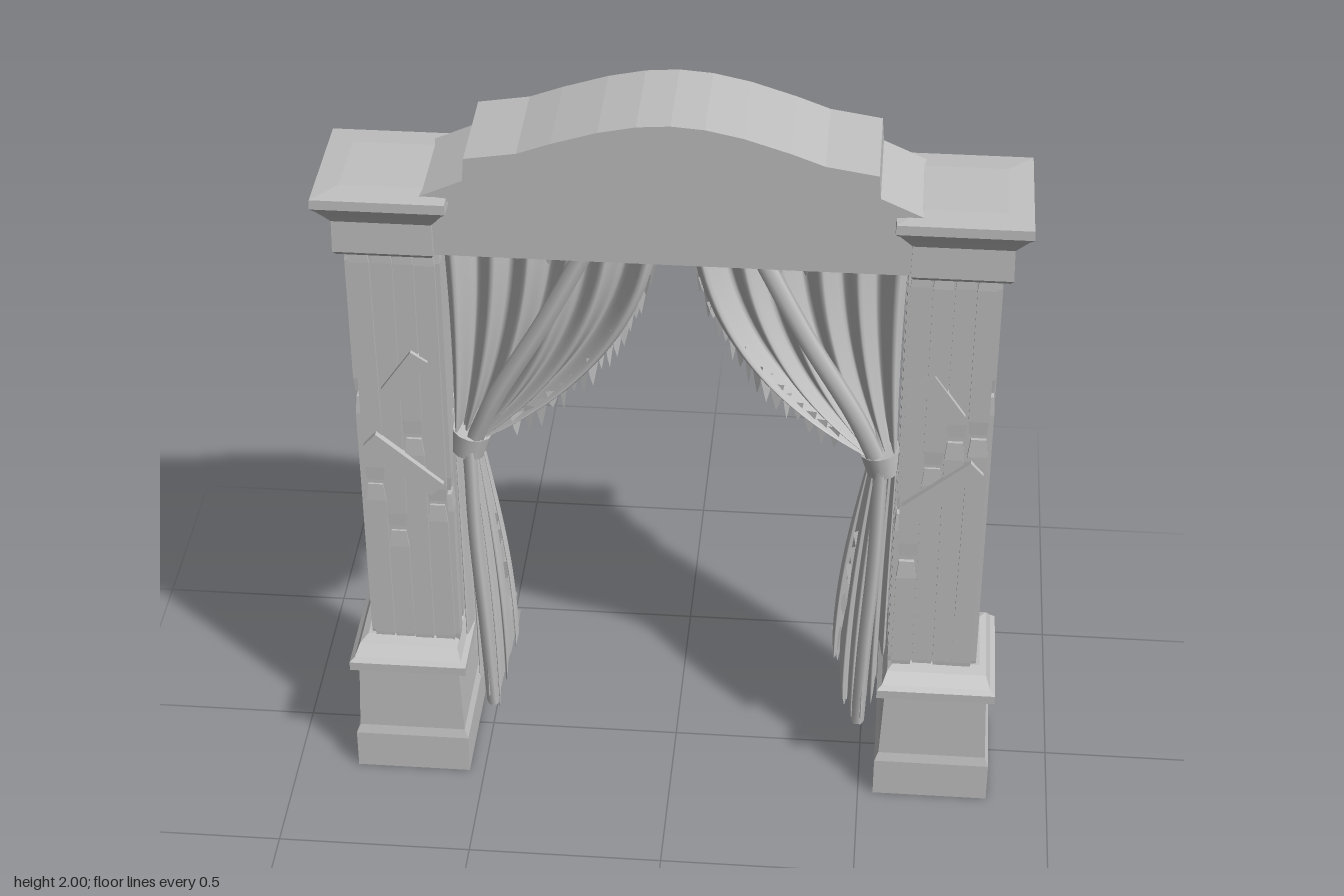
import * as THREE from 'three';

const stone = new THREE.MeshStandardMaterial({ color: 0xc0c0c0, side: THREE.DoubleSide });
stone.name = 'weathered grey';

let seed = 7;
const rand = (a = 0, b = 1) => {
  seed = (seed * 16807) % 2147483647;
  return a + (b - a) * (seed / 2147483647);
};
const lerp = THREE.MathUtils.lerp;
const V = (x, y, z) => new THREE.Vector3(x, y, z);

function add(parent, name, geo, x = 0, y = 0, z = 0) {
  const m = new THREE.Mesh(geo, stone);
  m.name = name;
  m.position.set(x, y, z);
  parent.add(m);
  return m;
}

// Stack of rectangles [y, halfX, halfZ], closed at both ends, sharp edges
function loft(sections) {
  const pos = [];
  const ring = ([y, hx, hz]) => [[-hx, y, hz], [hx, y, hz], [hx, y, -hz], [-hx, y, -hz]];
  const quad = (a, b, c, d) => pos.push(...a, ...b, ...c, ...a, ...c, ...d);
  const rings = sections.map(ring);
  for (let i = 0; i + 1 < rings.length; i++) {
    for (let k = 0; k < 4; k++) {
      const n = (k + 1) % 4;
      quad(rings[i][k], rings[i][n], rings[i + 1][n], rings[i + 1][k]);
    }
  }
  const [b, t] = [rings[0], rings[rings.length - 1]];
  quad(b[3], b[2], b[1], b[0]);
  quad(t[0], t[1], t[2], t[3]);
  const g = new THREE.BufferGeometry();
  g.setAttribute('position', new THREE.Float32BufferAttribute(pos, 3));
  g.computeVertexNormals();
  return g;
}

// Cloth sheet: fn(u, v) gives a point
function sheet(fn, nu, nv) {
  const pos = [], idx = [];
  for (let j = 0; j <= nv; j++) {
    for (let i = 0; i <= nu; i++) {
      pos.push(...fn(i / nu, j / nv));
      if (i < nu && j < nv) {
        const a = j * (nu + 1) + i, c = a + nu + 1;
        idx.push(a, c, a + 1, a + 1, c, c + 1);
      }
    }
  }
  const g = new THREE.BufferGeometry();
  g.setAttribute('position', new THREE.Float32BufferAttribute(pos, 3));
  g.setIndex(idx);
  g.computeVertexNormals();
  return g;
}

const tube = (pts, r, n = 24, sides = 6) =>
  new THREE.TubeGeometry(new THREE.CatmullRomCurve3(pts), n, r, sides);

function extrude(points, z0, z1) {
  const shape = new THREE.Shape(points.map(([x, y]) => new THREE.Vector2(x, y)));
  return new THREE.ExtrudeGeometry(shape, { depth: z1 - z0, bevelEnabled: false }).translate(0, 0, z0);
}
const mirrored = (pts) => [...pts, ...pts.filter(([x]) => x > 0).reverse().map(([x, y]) => [-x, y])];

function createPost() {
  const post = new THREE.Group();
  post.name = 'post';
  add(post, 'pedestal', loft([[0, 0.15, 0.16], [0.11, 0.15, 0.157], [0.135, 0.14, 0.15], [0.32, 0.132, 0.145],
    [0.335, 0.153, 0.165], [0.36, 0.153, 0.165], [0.372, 0.14, 0.155], [0.4, 0.128, 0.13], [0.41, 0.11, 0.1]]), 0.69, 0, 0.035);
  add(post, 'shaftCore', new THREE.BoxGeometry(0.205, 1.24, 0.19), 0.675, 1.0, 0.035);
  add(post, 'capital', loft([[1.6, 0.115, 0.115], [1.615, 0.122, 0.13], [1.7, 0.12, 0.128], [1.72, 0.135, 0.14],
    [1.745, 0.15, 0.16], [1.755, 0.162, 0.168], [1.78, 0.16, 0.167], [1.785, 0.1, 0.1]]), 0.69, 0, 0.035);

  // Worn planks around the four sides of the shaft
  for (let side = 0; side < 4; side++) {
    const holder = new THREE.Group();
    holder.name = 'plankSide';
    holder.position.set(0.675, 0, 0.035);
    holder.rotation.y = side * Math.PI / 2;
    post.add(holder);
    const across = side % 2 ? 0.19 : 0.21, out = side % 2 ? 0.1025 : 0.095;
    for (let i = 0; i < 4; i++) {
      const split = rand(0.75, 1.3), w = across / 4;
      for (const [y0, y1] of [[0.38, split - 0.008], [split + 0.008, 1.62]]) {
        const h = y1 - y0, t = rand(0.01, 0.03);
        const p = add(holder, 'plank', loft([[-h / 2, w * 0.4, t * 0.4], [-h / 2 + 0.04, w * 0.48, t * 0.5],
          [h / 2 - 0.05, w * 0.47, t * 0.5], [h / 2, w * 0.36, t * 0.35]]), (i - 1.5) * w, (y0 + y1) / 2, out);
        p.rotation.z = rand(-0.008, 0.008);
      }
    }
  }
  // Diagonal boards nailed across front and back
  for (const [x, y, z, len, a] of [[0.675, 0.98, 0.145, 0.22, -0.85], [0.66, 1.25, 0.14, 0.14, 0.6], [0.67, 1.0, -0.07, 0.2, 0.8]]) {
    add(post, 'crossBoard', new THREE.BoxGeometry(0.05, len, 0.02), x, y, z).rotation.z = a;
  }
  return post;
}

function createCurtain() {
  const g = new THREE.Group();
  g.name = 'curtain';
  const pleat = (u) => Math.sin(u * Math.PI * 11) + 0.4 * Math.sin(u * 19 + 1);

  // Upper swag gathered to the tie
  const swagPoint = (u, v) => {
    const q = new THREE.QuadraticBezierCurve(
      new THREE.Vector2(lerp(0.565, 0.035, u), 1.63),
      new THREE.Vector2(lerp(0.55, 0.09, u), lerp(1.3, 1.22, u)),
      new THREE.Vector2(lerp(0.56, 0.485, u), lerp(0.96, 1.0, u))).getPoint(v);
    return [q.x, q.y, 0.03 + pleat(u) * lerp(0.035, 0.02, v)];
  };
  add(g, 'swag', sheet(swagPoint, 66, 20));

  // Lower tail with a ragged hem
  const hem = Array.from({ length: 31 }, () => rand(-0.035, 0.035));
  add(g, 'tail', sheet((u, v) => {
    const bottom = (u < 0.55 ? lerp(0.3, 0.09, u / 0.55) : lerp(0.09, 0.38, (u - 0.55) / 0.45)) + hem[Math.round(u * 30)];
    const bulge = Math.sin(v * Math.PI / 2);
    return [lerp(lerp(0.56, 0.485, u), lerp(0.555, 0.415, u), bulge), lerp(0.97, bottom, v),
      0.03 + pleat(u) * lerp(0.02, 0.032, bulge)];
  }, 60, 18));

  // Heavy rolled folds
  add(g, 'frontFold', tube([V(0.2, 1.62, 0.075), V(0.32, 1.38, 0.08), V(0.45, 1.14, 0.07), V(0.515, 0.98, 0.05)], 0.024));
  add(g, 'backFold', tube([V(0.28, 1.62, -0.02), V(0.4, 1.35, -0.03), V(0.5, 1.1, -0.01), V(0.525, 0.98, 0.01)], 0.025));
  add(g, 'tailFold', tube([V(0.52, 0.97, 0.06), V(0.515, 0.7, 0.065), V(0.5, 0.4, 0.06), V(0.49, 0.12, 0.045)], 0.018));
  const tie = add(g, 'tieBand', new THREE.CylinderGeometry(0.052, 0.045, 0.065, 12), 0.522, 0.98, 0.03);
  tie.rotation.z = 0.2;
  add(g, 'tieCord', tube([V(0.55, 0.99, 0.03), V(0.6, 1.0, 0.03), V(0.63, 1.03, 0.03)], 0.014, 8));

  // Torn strips along the inner edge
  const rag = (x, y, z, w, l) => {
    const s = new THREE.Shape([[-w, 0.02], [w, 0.02], [w * 0.5, -l * 0.55], [0, -l], [-w * 0.4, -l * 0.5]].map((p) => new THREE.Vector2(...p)));
    add(g, 'tatter', new THREE.ShapeGeometry(s), x, y, z).rotation.y = rand(-0.6, 0.6);
  };
  for (let i = 0; i < 18; i++) {
    const [x, y, z] = swagPoint(1, 0.08 + i * 0.047);
    rag(x + 0.006, y, z, rand(0.01, 0.02), rand(0.025, 0.07));
  }
  for (let i = 0; i < 7; i++) rag(lerp(0.47, 0.425, i / 6), lerp(0.72, 0.4, i / 6), 0.02, 0.014, rand(0.04, 0.09));
  return g;
}

function createLantern() {
  const g = new THREE.Group();
  g.name = 'lantern';
  g.position.set(0.635, 0, -0.135);
  const profile = [[0, 1.18], [0.01, 1.205], [0.03, 1.23], [0.055, 1.265], [0.063, 1.31], [0.06, 1.35], [0.066, 1.36],
    [0.064, 1.378], [0.045, 1.385], [0, 1.39]].map((p) => new THREE.Vector2(...p));
  add(g, 'lanternBowl', new THREE.LatheGeometry(profile, 14));
  for (let i = 0; i < 3; i++) {
    const a = i * Math.PI * 2 / 3, c = Math.cos(a) * 0.05, s = Math.sin(a) * 0.05;
    add(g, 'chain', tube([V(c, 1.375, s), V(c * 0.6, 1.43, s * 0.6), V(0, 1.5, 0)], 0.005, 6, 5));
    add(g, 'bowlRib', tube([V(c * 1.28, 1.35, s * 1.28), V(c * 1.28, 1.3, s * 1.28), V(c * 0.6, 1.225, s * 0.6)], 0.01, 8, 5));
  }
  add(g, 'hook', tube([V(0, 1.47, 0.07), V(0, 1.52, 0.04), V(0, 1.54, 0), V(0, 1.52, -0.03), V(0, 1.49, -0.015)], 0.013, 16));
  add(g, 'hookPlate', new THREE.BoxGeometry(0.06, 0.1, 0.02), 0, 1.49, 0.06);
  return g;
}

// Scrolls and leaves carved on one half of the back
function createCarving() {
  const g = new THREE.Group();
  g.name = 'carvedScrolls';
  const scroll = (cx, cy, r, turn, thick) => {
    const pts = Array.from({ length: 14 }, (_, i) => {
      const a = turn + i * 0.6, k = r * (1 - i / 15);
      return V(cx + Math.cos(a) * k, cy + Math.sin(a) * k, -0.088 - i * 0.0012);
    });
    add(g, 'scroll', tube(pts, thick, 40));
  };
  scroll(0.29, 1.75, 0.085, 2.4, 0.02);
  scroll(0.47, 1.7, 0.055, 1.2, 0.015);
  scroll(0.15, 1.7, 0.045, 3.6, 0.014);
  const z = -0.09;
  add(g, 'leaf', tube([V(0.07, 1.88, z), V(0.17, 1.89, z - 0.01), V(0.3, 1.85, z), V(0.42, 1.79, z)], 0.022));
  add(g, 'leaf', tube([V(0.08, 1.8, z), V(0.15, 1.81, z - 0.01), V(0.2, 1.76, z), V(0.23, 1.67, z)], 0.02));
  add(g, 'leaf', tube([V(0.05, 1.68, z), V(0.2, 1.65, z), V(0.38, 1.66, z), V(0.55, 1.65, z)], 0.018));
  return g;
}

function createModel() {
  const model = new THREE.Group();
  model.name = 'curtainedArchway';

  for (const s of [1, -1]) {
    const half = new THREE.Group();
    half.name = s > 0 ? 'leftSide' : 'rightSide';
    half.scale.x = s;
    half.add(createPost(), createCurtain(), createLantern(), createCarving());
    model.add(half);
  }

  // Arched header panel and its raised coping
  const underside = [[0, 1.955], [0.2, 1.92], [0.35, 1.855], [0.5, 1.785], [0.6, 1.74]];
  add(model, 'headerPanel', extrude(mirrored([...underside, [0.66, 1.71], [0.65, 1.67], [0.57, 1.65], [0.57, 1.61]]), -0.085, 0.15));
  const top = [[0, 2], [0.08, 1.994], [0.17, 1.975], [0.28, 1.94], [0.36, 1.91], [0.485, 1.89], [0.49, 1.83], [0.6, 1.78]];
  const under = underside.slice().reverse();
  const right = [...top, ...under];
  add(model, 'coping', extrude([...right, ...right.slice(1, -1).reverse().map(([x, y]) => [-x, y])], -0.1, 0.168));
  add(model, 'backSill', new THREE.BoxGeometry(1.14, 0.035, 0.03), 0, 1.628, -0.09);

  // Mask carved at the centre of the back
  const mask = new THREE.Group();
  mask.name = 'carvedMask';
  model.add(mask);
  const lump = (name, x, y, z, sx, sy, sz) =>
    add(mask, name, new THREE.SphereGeometry(1, 16, 12), x, y, z).scale.set(sx, sy, sz);
  lump('maskFace', 0, 1.8, -0.085, 0.08, 0.13, 0.038);
  lump('maskBrow', 0, 1.88, -0.09, 0.1, 0.04, 0.04);
  lump('maskNose', 0, 1.8, -0.118, 0.018, 0.045, 0.018);
  lump('maskChin', 0, 1.7, -0.095, 0.04, 0.045, 0.028);
  for (const s of [1, -1]) lump('maskCheek', s * 0.04, 1.78, -0.108, 0.03, 0.03, 0.018);
  return model;
}

export { createModel };
